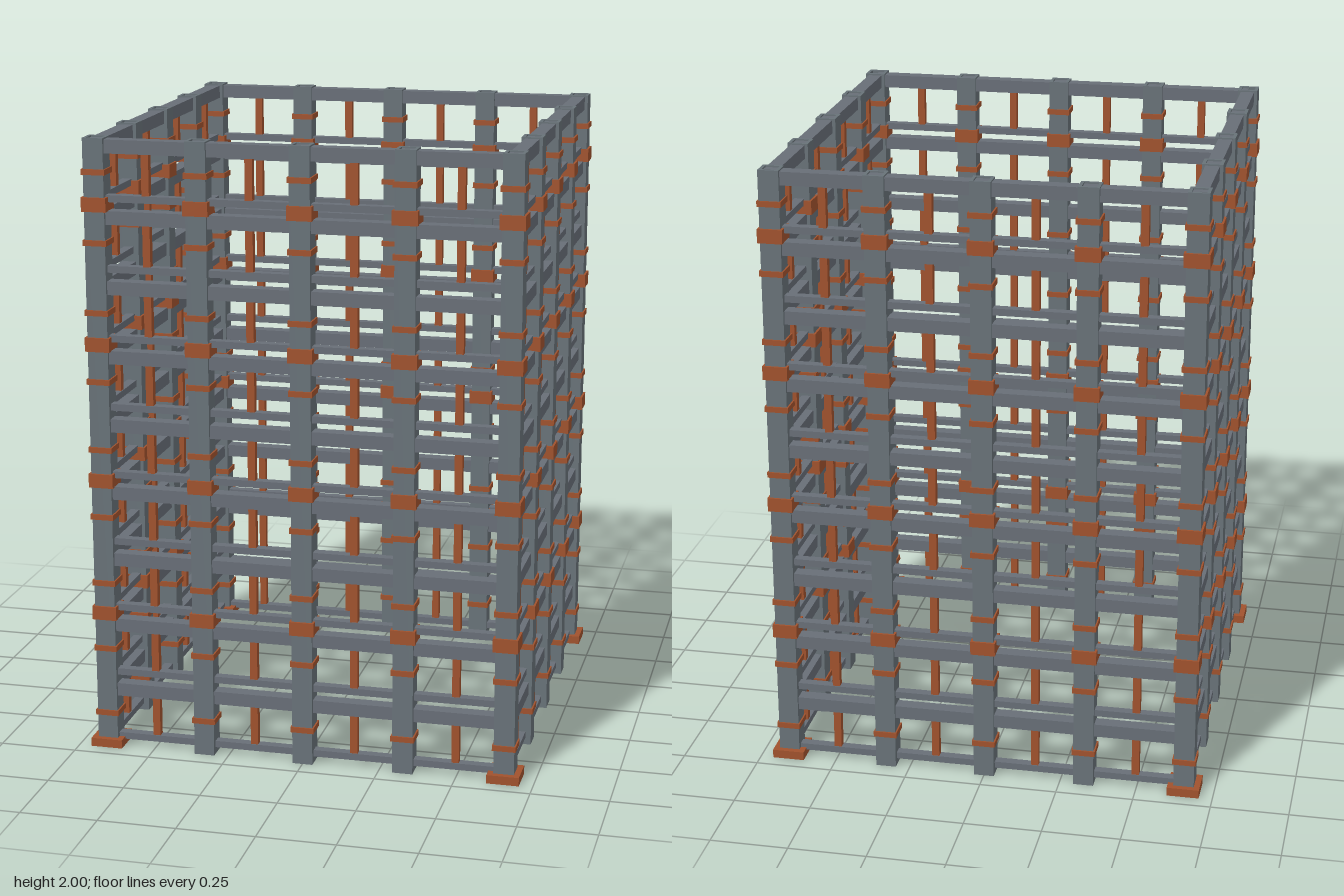
import * as THREE from 'three';

export function createModel() {
  const model = new THREE.Group();
  model.name = 'latticeTower';
  const mat = (name, color) => {
    const m = new THREE.MeshStandardMaterial({ color });
    m.name = name;
    return m;
  };
  const steel = mat('slate steel', 0x687278);
  const railSteel = mat('rail steel', 0x686e77);
  const rust = mat('rust', 0xa0522d);

  const HALF = 0.655;   // wall centre line
  const PITCH = 0.2222; // storey height
  const LEVELS = 9;

  const add = (parent, name, geometry, material, x, y, z) => {
    const mesh = new THREE.Mesh(geometry, material);
    mesh.name = name;
    mesh.position.set(x, y, z);
    parent.add(mesh);
    return mesh;
  };
  const box = (parent, name, material, w, h, d, x, y, z) =>
    add(parent, name, new THREE.BoxGeometry(w, h, d), material, x, y, z);

  // Square hollow column section, extruded upward
  const square = (Type, r) => new Type([
    new THREE.Vector2(-r, -r), new THREE.Vector2(r, -r),
    new THREE.Vector2(r, r), new THREE.Vector2(-r, r),
  ]);
  const section = square(THREE.Shape, 0.033);
  section.holes.push(square(THREE.Path, 0.0225));
  const tube = new THREE.ExtrudeGeometry(section, { depth: 2, bevelEnabled: false });
  tube.rotateX(-Math.PI / 2);

  // Column with small clips on every storey and big collars on every second one
  const column = (parent, name, x, z) => {
    const g = new THREE.Group();
    g.name = name;
    g.position.set(x, 0, z);
    add(g, 'tube', tube, steel, 0, 0, 0);
    for (let i = 0; i < LEVELS; i++) {
      box(g, 'clip', rust, 0.076, 0.018, 0.076, 0, 0.117 + i * PITCH, 0);
    }
    for (let i = 0; i < 4; i++) {
      box(g, 'collar', rust, 0.08, 0.045, 0.08, 0, 0.46 + i * 2 * PITCH, 0);
    }
    parent.add(g);
    return g;
  };

  // Four equal walls, turned about the vertical axis
  for (let side = 0; side < 4; side++) {
    const wall = new THREE.Group();
    wall.name = ['frontWall', 'leftWall', 'backWall', 'rightWall'][side];
    wall.rotation.y = side * Math.PI / 2;

    const corner = column(wall, 'cornerColumn', HALF, HALF);
    box(corner, 'footPlate', rust, 0.104, 0.028, 0.104, 0, 0.016, 0);
    for (const x of [-0.328, 0, 0.328]) column(wall, 'wallColumn', x, HALF);

    for (let i = 0; i < LEVELS; i++) {
      const low = 0.033 + i * PITCH;
      const high = 0.196 + i * PITCH;
      box(wall, 'thinRail', railSteel, 2 * HALF, 0.022, 0.03, 0, low, HALF);
      box(wall, 'mainRail', railSteel, 2 * HALF, 0.043, 0.045, 0, high, HALF);
      // Slim uprights between the thin rail and the main rail above it
      for (const x of [-0.495, -0.165, 0.165, 0.495]) {
        box(wall, 'upright', rust, 0.024, high - low, 0.024, x, (low + high) / 2, HALF);
      }
    }
    model.add(wall);
  }
  return model;
}
